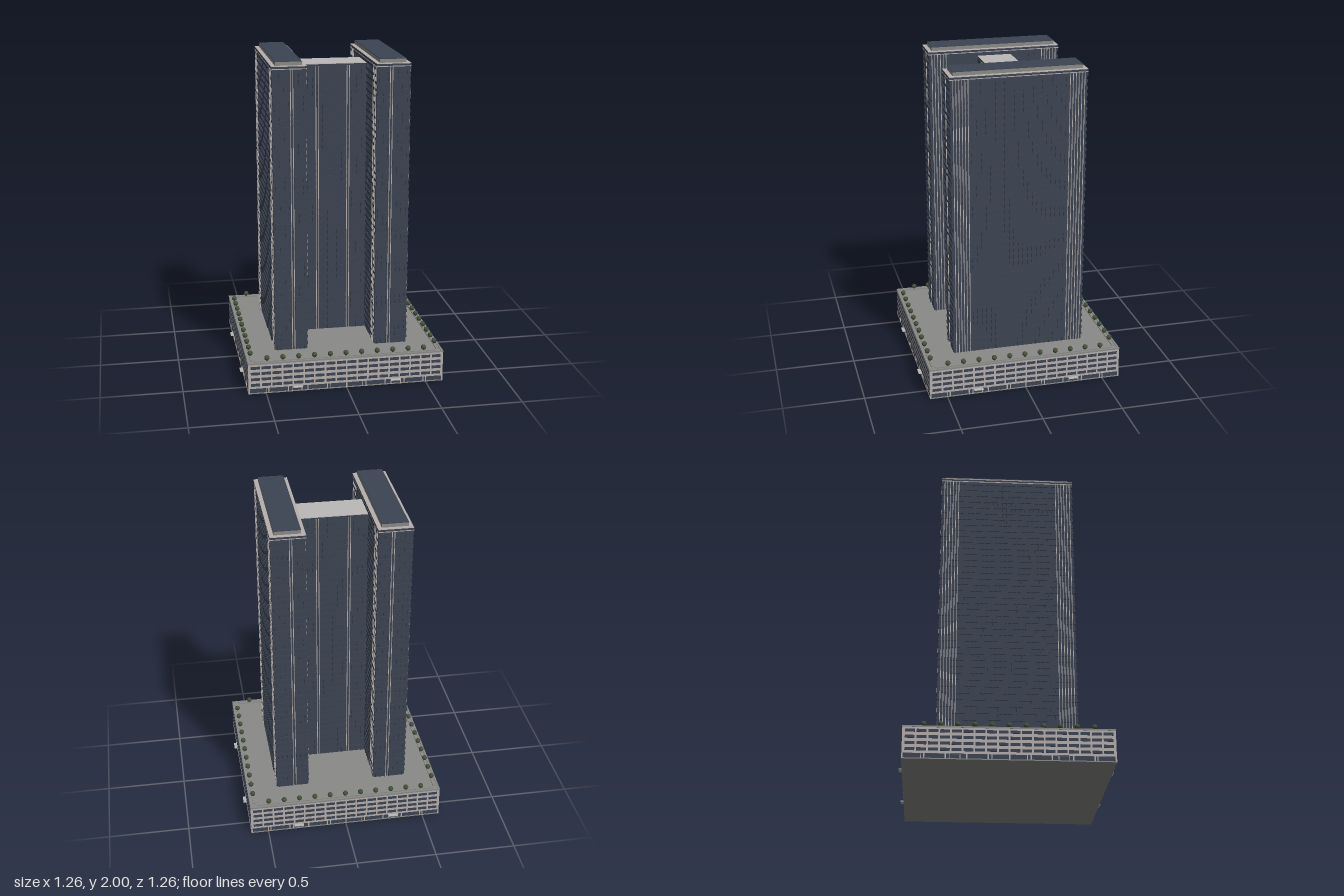
import * as THREE from 'three';
import { mergeGeometries } from 'three/addons/utils/BufferGeometryUtils.js';

const mat = (name, color) => {
  const m = new THREE.MeshStandardMaterial({ color });
  m.name = name;
  return m;
};

// Box given by its centre in x and z, and its bottom and top in y
const box = (x, z, y0, y1, w, d) =>
  new THREE.BoxGeometry(w, y1 - y0, d).translate(x, (y0 + y1) / 2, z);

export function createModel() {
  const glass = mat('navy glass', 0x3c4452);
  const concrete = mat('pale concrete', 0xb6b0ae);
  const paving = mat('grey roof', 0x8a8a87);
  const deck = mat('light deck', 0xbab9b7);
  const leaf = mat('dark leaf', 0x45523a);
  const bark = mat('bark', 0x4a3b2c);

  const model = new THREE.Group();
  const add = (name, geometries, material) => {
    const mesh = new THREE.Mesh(mergeGeometries(geometries), material);
    mesh.name = name;
    model.add(mesh);
  };

  // Runs a function for each of the four sides, returning geometry built for the front
  const fourSides = (build) => [0, 1, 2, 3].flatMap((i) =>
    build().map((g) => g.rotateY((i * Math.PI) / 2)));

  // Podium
  const P = 0.61;
  add('podiumBase', [box(0, 0, 0, 0.006, 2 * P, 2 * P)], paving);
  add('podiumGroundFloor', [box(0, 0, 0.006, 0.034, 2 * P - 0.006, 2 * P - 0.006)], glass);
  add('podiumWall', [box(0, 0, 0.034, 0.193, 2 * P - 0.002, 2 * P - 0.002)], concrete);
  add('podiumRoof', [box(0, 0, 0.193, 0.196, 2 * P - 0.02, 2 * P - 0.02)], paving);
  add('podiumParapet', fourSides(() => [box(0, P - 0.006, 0.19, 0.2, 2 * P, 0.012)]), paving);

  // Podium windows and ground floor posts
  add('podiumWindows', fourSides(() => {
    const list = [];
    for (let row = 0; row < 4; row++) {
      for (let i = 0; i < 18; i++) {
        const x = (i - 8.5) * 0.0665;
        list.push(box(x, P - 0.001, 0.049 + row * 0.037, 0.067 + row * 0.037, 0.056, 0.004));
      }
    }
    return list;
  }), glass);
  add('groundFloorPosts', fourSides(() => {
    const list = [];
    for (let i = 0; i <= 10; i++) {
      list.push(box((i - 5) * 0.121, P - 0.003, 0, 0.034, 0.008, 0.006));
    }
    for (const s of [-1, 1]) {
      for (const x of [0.1, 0.28, 0.34, 0.5]) {
        list.push(box(s * x, P - 0.003, 0, 0.034, 0.005, 0.006));
      }
    }
    return list;
  }), concrete);

  // Entrance canopies
  add('entranceCanopies', fourSides(() =>
    [-0.305, 0.305].map((x) => box(x, P + 0.009, 0.03, 0.035, 0.06, 0.022))), deck);

  // Planter beds with round trees
  add('planters', fourSides(() => [box(0, 0.582, 0.195, 0.202, 1.13, 0.016)]), paving);
  const crowns = [];
  const trunks = [];
  for (let i = -5; i <= 5; i++) {
    const t = i * 0.098;
    for (const [x, z] of [[t, 0.582], [t, -0.582], [0.582, t], [-0.582, t]]) {
      crowns.push(new THREE.IcosahedronGeometry(0.0165, 1).translate(x, 0.221, z));
      trunks.push(new THREE.CylinderGeometry(0.003, 0.004, 0.02, 6).translate(x, 0.206, z));
    }
  }
  add('treeCrowns', crowns, leaf);
  add('treeTrunks', trunks, bark);

  // Two slab towers and the core that joins them
  const BASE = 0.196, TOP = 1.972, CORE = 1.93, X = 0.315, W = 0.2, D = 0.83;
  const FLOORS = 41, STEP = (1.95 - 0.2) / FLOORS;
  const bodies = [box(0, 0, BASE, CORE, 0.43, 0.206)];
  const ledges = [];
  const fins = [];
  for (const s of [-1, 1]) bodies.push(box(s * X, 0, BASE, TOP - 0.003, W, D));

  for (let i = 1; i <= FLOORS; i++) {
    const y = 0.2 + i * STEP;
    for (const s of [-1, 1]) ledges.push(box(s * X, 0, y - 0.016, y, W + 0.009, D + 0.009));
    if (y < CORE) ledges.push(box(0, 0, y - 0.016, y, 0.42, 0.214));
  }

  // Window fins on the tower sides, ends and the core
  for (const s of [-1, 1]) {
    for (let i = -14; i <= 14; i++) fins.push(box(s * X, i * 0.0288, BASE, 1.95, W + 0.007, 0.006));
    for (let i = -3; i <= 3; i++) fins.push(box(s * X + i * 0.0288, 0, BASE, 1.95, 0.006, D + 0.007));
  }
  for (let i = -6; i <= 6; i++) fins.push(box(i * 0.031, 0, BASE, CORE - 0.01, 0.006, 0.212));
  add('towerBodies', bodies, glass);
  add('floorLedges', ledges, glass);
  add('windowFins', fins, glass);

  // Pale vertical mullions
  const mullions = [];
  for (const s of [-1, 1]) {
    for (const x of [0.293, 0.308]) mullions.push(box(s * x, 0, BASE, 1.96, 0.004, D + 0.011));
    for (const x of [0.09, 0.105]) mullions.push(box(s * x, 0, BASE, CORE - 0.01, 0.004, 0.216));
    for (let i = 0; i < 6; i++) {
      for (const e of [-1, 1]) {
        mullions.push(box(s * X, e * (0.31 + i * 0.018), BASE, 1.96, W + 0.011, 0.004));
      }
    }
  }
  add('mullions', mullions, concrete);

  // Tower tops: pale band, parapet, roof edge and plant room
  const sides = [-1, 1];
  add('topBands', sides.map((s) => box(s * X, 0, 1.955, 1.96, W + 0.012, D + 0.012)), concrete);
  add('topParapets', sides.map((s) => box(s * X, 0, 1.96, TOP, W + 0.011, D + 0.011)), glass);
  add('roofEdges', sides.map((s) => box(s * X, 0, TOP, TOP + 0.003, W + 0.011, D + 0.011)), concrete);
  add('plantRooms', sides.map((s) => box(s * X, 0, TOP + 0.003, 1.997, 0.16, 0.79)), paving);
  add('plantRoomRoofs', sides.map((s) => box(s * X, 0, 1.997, 2, 0.16, 0.79)), glass);
  add('coreRoof', [box(0, 0, CORE, CORE + 0.004, 0.43, 0.214)], deck);

  return model;
}
